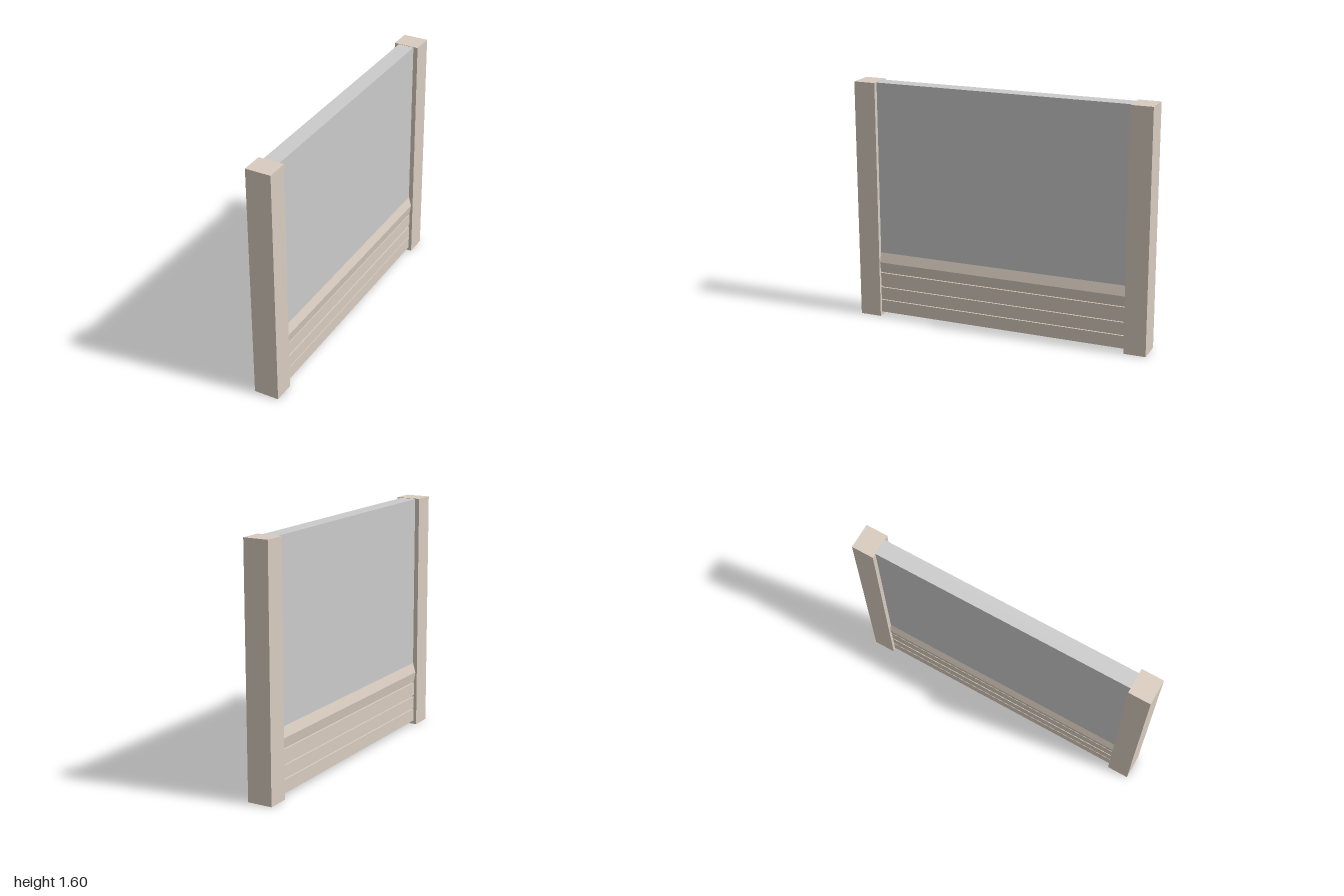
import * as THREE from 'three';

const beige = new THREE.MeshStandardMaterial({ color: 0xd9ccbf, flatShading: true });
const grey = new THREE.MeshStandardMaterial({ color: 0xcccccc, flatShading: true });

const HEIGHT = 1.595, POST_W = 0.166, POST_D = 0.145;
const SPAN = 2 - 2 * POST_D;

function addMesh(group, name, geometry, material, x = 0, y = 0, z = 0) {
  const mesh = new THREE.Mesh(geometry, material);
  mesh.name = name;
  mesh.position.set(x, y, z);
  group.add(mesh);
}

// Extrudes a half profile, mirrored over x = 0, between the posts
function mirroredRail(half) {
  const other = half.map(([x, y]) => [-x, y]).reverse();
  const shape = new THREE.Shape([...half, ...other].map(([x, y]) => new THREE.Vector2(x, y)));
  return new THREE.ExtrudeGeometry(shape, { depth: SPAN, bevelEnabled: false }).translate(0, 0, -SPAN / 2);
}

export function createModel() {
  const group = new THREE.Group();

  // End posts
  for (const [name, side] of [['frontPost', 1], ['backPost', -1]]) {
    addMesh(group, name, new THREE.BoxGeometry(POST_W, HEIGHT, POST_D), beige,
      0, HEIGHT / 2, side * (1 - POST_D / 2));
  }

  // Plain upper panel
  const bottom = 0.43, top = HEIGHT - 0.002;
  addMesh(group, 'wallPanel', new THREE.BoxGeometry(0.106, top - bottom, SPAN), grey, 0, (top + bottom) / 2, 0);

  // Skirting boards parted by narrow grooves, under a ridged cap
  const face = 0.062, groove = 0.05;
  const half = [[face, 0.025]];
  for (const [low, high] of [[0.11, 0.118], [0.2, 0.213], [0.302, 0.31]]) {
    half.push([face, low], [groove, low], [groove, high], [face, high]);
  }
  half.push([0.072, 0.378], [0.053, 0.443]);
  addMesh(group, 'skirting', mirroredRail(half), beige);

  return group;
}
